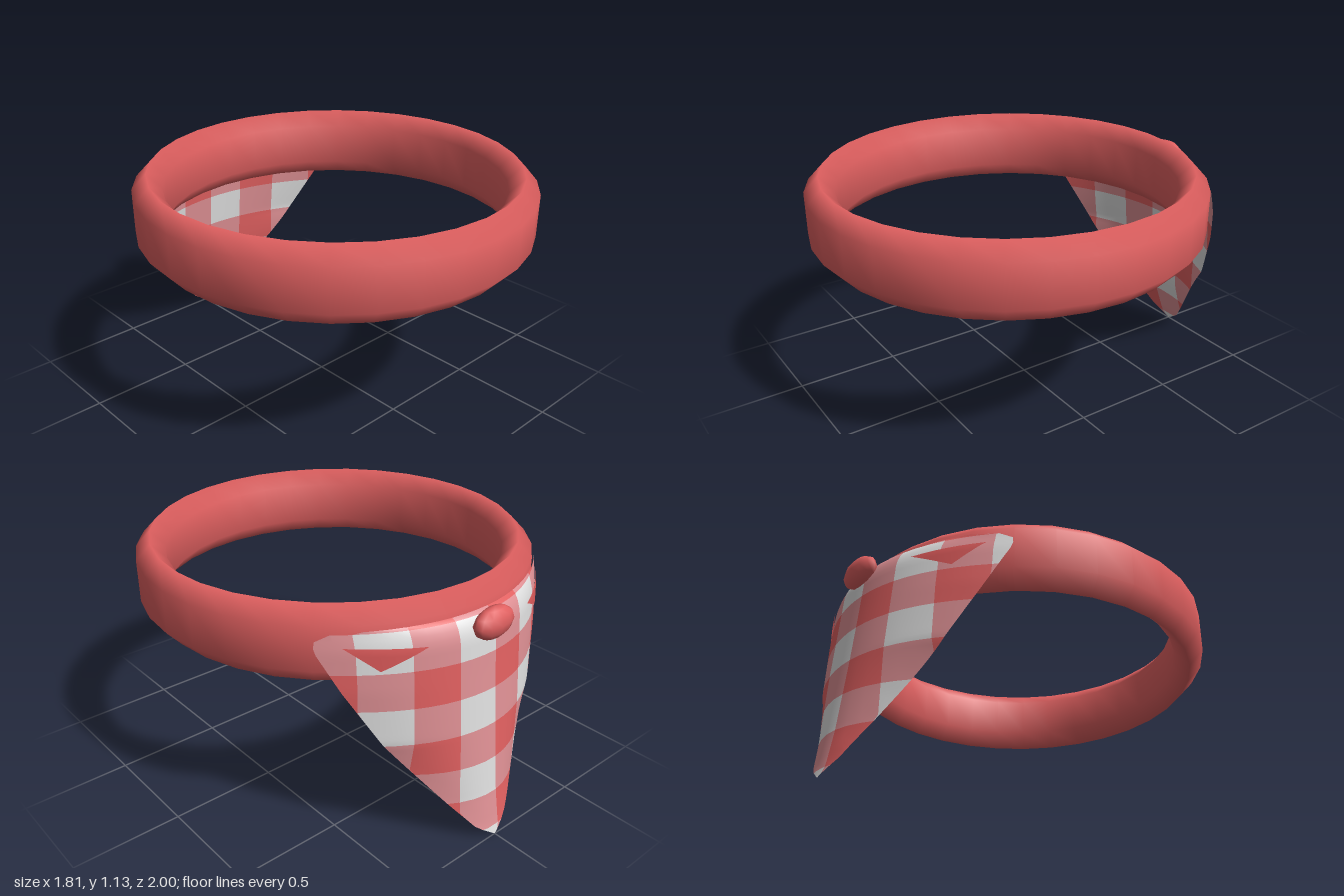
import * as THREE from 'three';
import { mergeVertices } from 'three/addons/utils/BufferGeometryUtils.js';

const red = new THREE.MeshStandardMaterial({ color: 0xe06060 });
red.name = 'red';
const pink = new THREE.MeshStandardMaterial({ color: 0xde9094 });
pink.name = 'pink';
const white = new THREE.MeshStandardMaterial({ color: 0xdedede });
white.name = 'white';
const patchRed = new THREE.MeshStandardMaterial({ color: 0xd85858, side: THREE.DoubleSide });
patchRed.name = 'patch red';

const TOP = 1.04;

// cloth rows: height, half width, centre depth, curvature
const ROWS = [
  [0, 0, -1, 2.4],
  [0.06, 0.09, -0.985, 2],
  [0.2, 0.2, -0.96, 1.6],
  [0.54, 0.45, -0.92, 0.84],
  [0.79, 0.58, -0.895, 0.74],
  [0.96, 0.65, -0.88, 0.735],
  [1.0, 0.65, -0.865, 0.72],
  [1.03, 0.6, -0.845, 0.68],
  [TOP, 0.5, -0.825, 0.6],
];

function rowAt(y) {
  let i = 0;
  while (i < ROWS.length - 2 && y > ROWS[i + 1][0]) i++;
  const a = ROWS[i], b = ROWS[i + 1];
  const f = (y - a[0]) / (b[0] - a[0]);
  return a.map((v, k) => v + (b[k] - v) * f);
}

// point on the outer or inner face, kept inside the triangular outline
function clothPoint(x, y, inner) {
  const [, w, zc, c] = rowAt(y);
  x = THREE.MathUtils.clamp(x, -w, w);
  let z = zc + c * x * x;
  if (inner && w > 0) {
    const puff = Math.min(1, y / 0.3, (TOP - y) / 0.08);
    z += 0.06 * puff * (1 - (x / w) ** 2);
  }
  return [x, y, z];
}

function weld(geometry) {
  geometry.deleteAttribute('uv');
  geometry.deleteAttribute('normal');
  const g = mergeVertices(geometry, 1e-4);
  g.computeVertexNormals();
  return g;
}

// gingham face: every check is a small grid with its own material group
function clothFace(inner) {
  const W = 0.187, H = 0.165, X0 = -0.03, Y0 = 0.04, NX = 3, NY = 6;
  const pos = [], index = [], buckets = [[], [], []];
  for (let r = -1; r <= 6; r++) {
    for (let c = -4; c <= 4; c++) {
      const reds = (c & 1 ? 1 : 0) + (r & 1 ? 0 : 1);
      for (let j = 0; j < NY; j++) {
        const ya = THREE.MathUtils.clamp(Y0 + (r + j / NY) * H, 0, TOP);
        const yb = THREE.MathUtils.clamp(Y0 + (r + (j + 1) / NY) * H, 0, TOP);
        if (yb - ya < 1e-5) continue;
        for (let i = 0; i < NX; i++) {
          const xa = X0 + (c + i / NX) * W, xb = xa + W / NX;
          const p = [[xa, ya], [xa, yb], [xb, yb], [xb, ya]].map(([x, y]) => clothPoint(x, y, inner));
          if (p[2][0] - p[1][0] < 1e-5 && p[3][0] - p[0][0] < 1e-5) continue;
          const n = pos.length / 3;
          p.forEach((v) => pos.push(...v));
          buckets[reds].push(...(inner ? [n, n + 2, n + 1, n, n + 3, n + 2] : [n, n + 1, n + 2, n, n + 2, n + 3]));
        }
      }
    }
  }
  const g = new THREE.BufferGeometry();
  buckets.forEach((b, m) => {
    g.addGroup(index.length, b.length, m);
    b.forEach((v) => index.push(v));
  });
  g.setAttribute('position', new THREE.Float32BufferAttribute(pos, 3));
  g.setIndex(index);
  return weld(g);
}

// thin triangular patch lying on the outer face
function cornerPatch(side) {
  const N = 6, pos = [], index = [];
  for (let j = 0; j <= N; j++) {
    for (let i = 0; i <= N; i++) {
      const f = i / N, d = j / N;
      const x = THREE.MathUtils.lerp(0.29 + 0.28 * f, 0.46, d);
      const y = THREE.MathUtils.lerp(0.965 + 0.015 * f, 0.88, d);
      const p = clothPoint(x, y, false);
      pos.push(p[0] * side, p[1], p[2] - 0.007);
      if (i < N && j < N) {
        const n = j * (N + 1) + i, m = n + N + 1;
        index.push(...(side > 0 ? [n, n + 1, m, n + 1, m + 1, m] : [n, m, n + 1, n + 1, m, m + 1]));
      }
    }
  }
  const g = new THREE.BufferGeometry();
  g.setAttribute('position', new THREE.Float32BufferAttribute(pos, 3));
  g.setIndex(index);
  g.computeVertexNormals();
  return g;
}

export function createModel() {
  const group = new THREE.Group();
  const add = (name, geometry, material) => {
    const mesh = new THREE.Mesh(geometry, material);
    mesh.name = name;
    group.add(mesh);
    return mesh;
  };

  // collar band with a six-sided section
  const profile = [
    [0.84, 0.79], [0.907, 0.865], [0.907, 1.06], [0.84, 1.13],
    [0.773, 1.06], [0.773, 0.865], [0.84, 0.79],
  ].map(([r, y]) => new THREE.Vector2(r, y));
  add('collarBand', weld(new THREE.LatheGeometry(profile, 32)), red).position.z = 0.09;

  // checked kerchief hanging at the back
  const checks = [white, pink, red];
  add('kerchiefOuter', clothFace(false), checks);
  add('kerchiefInner', clothFace(true), checks);
  add('patchLeft', cornerPatch(1), patchRed);
  add('patchRight', cornerPatch(-1), patchRed);

  // knot
  const knot = add('knot', new THREE.SphereGeometry(1, 12, 6), red);
  knot.scale.set(0.11, 0.07, 0.05);
  knot.position.set(0, 1.0, -0.888);

  return group;
}
